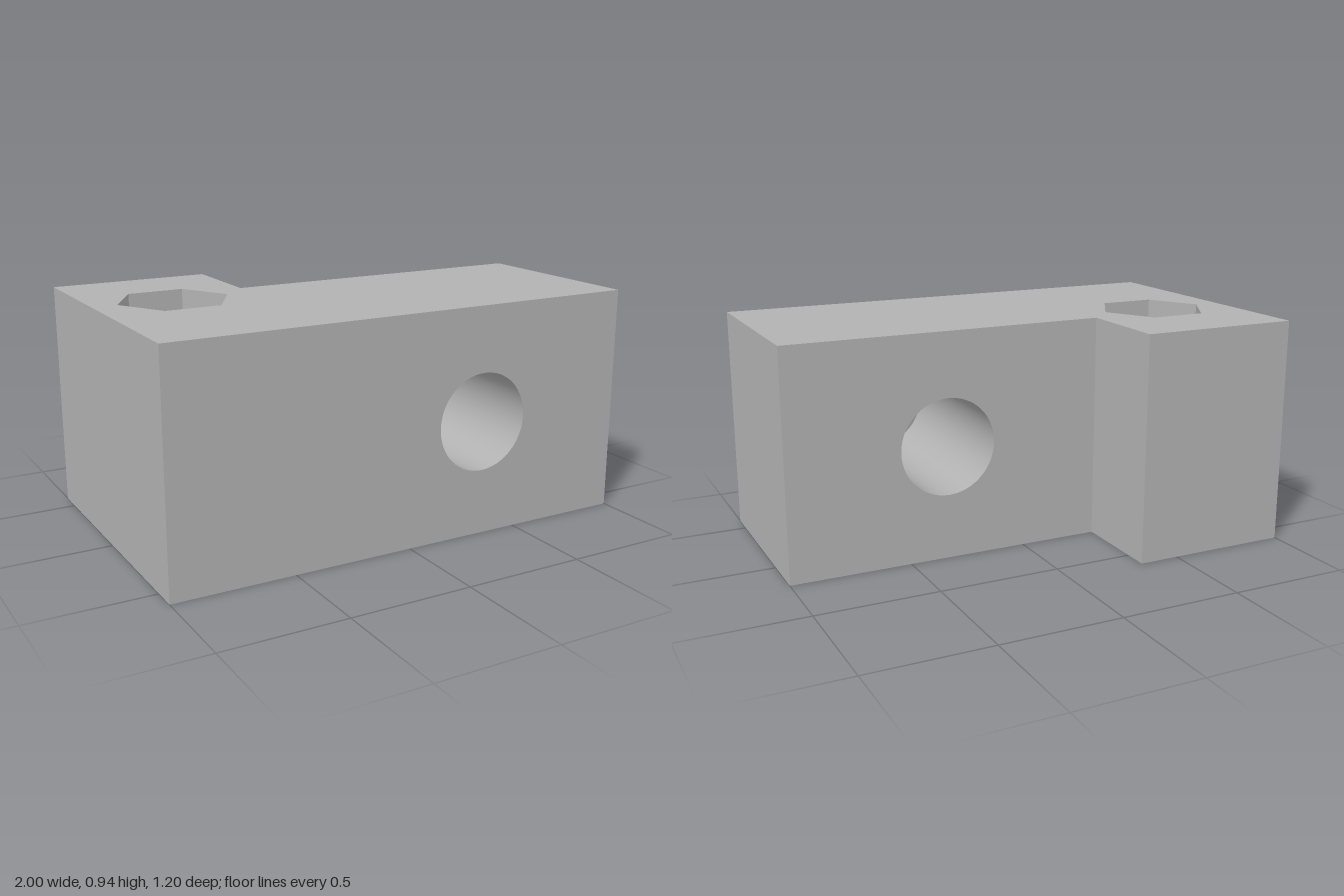
import * as THREE from 'three';

const H = 0.935;
const BOLT = { x: -0.667, z: -0.1, r: 0.142, hexR: 0.231, depth: 0.17 };
const CROSS = { x: 0.333, y: H / 2, r: 0.2 };

// L-shaped footprint as [x, z], ordered so every wall faces outward
const FOOTPRINT = [[-1, 0.6], [1, 0.6], [1, -0.2], [-0.333, -0.2], [-0.333, -0.6], [-1, -0.6]];

const shapeOf = (pts) => new THREE.Shape(pts.map(([x, y]) => new THREE.Vector2(x, y)));
const circle = (x, y, r) => new THREE.Path().absarc(x, y, r, 0, Math.PI * 2, true);
const hexPoints = (x, y, r) => Array.from({ length: 6 }, (_, i) =>
  new THREE.Vector2(x + r * Math.cos(i * Math.PI / 3), y + r * Math.sin(i * Math.PI / 3)));

export function createModel() {
  const group = new THREE.Group();
  const grey = new THREE.MeshStandardMaterial({ color: 0xb2b2b2, side: THREE.DoubleSide });
  grey.name = 'grey';

  const add = (name, geometry) => {
    const mesh = new THREE.Mesh(geometry, grey);
    mesh.name = name;
    group.add(mesh);
    return mesh;
  };
  const face = (name, shape, hole) => {
    if (hole) shape.holes.push(hole);
    return add(name, new THREE.ShapeGeometry(shape, 32));
  };

  // Outer walls; the front wall and the wall behind it carry the cross bore
  const names = ['frontWall', 'leftWall', 'innerBackWall', 'stepWall', 'backWall', 'rightWall'];
  FOOTPRINT.forEach(([x, z], i) => {
    const [x2, z2] = FOOTPRINT[(i + 1) % FOOTPRINT.length];
    const w = Math.hypot(x2 - x, z2 - z);
    const hole = i === 0 || i === 2 ? circle(Math.abs(CROSS.x - x), CROSS.y, CROSS.r) : null;
    const wall = face(names[i], shapeOf([[0, 0], [w, 0], [w, H], [0, H]]), hole);
    wall.rotation.y = Math.atan2(z - z2, x2 - x);
    wall.position.set(x, 0, z);
  });

  // Top with the hexagonal opening
  const top = face('topFace', shapeOf(FOOTPRINT.map(([x, z]) => [x, -z])),
    new THREE.Path(hexPoints(BOLT.x, -BOLT.z, BOLT.hexR)));
  top.rotation.x = -Math.PI / 2;
  top.position.y = H;

  // Underside with the round bolt hole
  const bottom = face('bottomFace', shapeOf(FOOTPRINT), circle(BOLT.x, BOLT.z, BOLT.r));
  bottom.rotation.x = Math.PI / 2;

  // Nut recess: floor and six flat sides
  const floor = face('recessFloor', new THREE.Shape(hexPoints(BOLT.x, -BOLT.z, BOLT.hexR)),
    circle(BOLT.x, -BOLT.z, BOLT.r));
  floor.rotation.x = -Math.PI / 2;
  floor.position.y = H - BOLT.depth;

  const hexSides = new THREE.CylinderGeometry(BOLT.hexR, BOLT.hexR, BOLT.depth, 6, 1, true, Math.PI / 2).toNonIndexed();
  hexSides.computeVertexNormals();
  add('recessSides', hexSides).position.set(BOLT.x, H - BOLT.depth / 2, BOLT.z);

  // Bore linings
  const boltLength = H - BOLT.depth;
  add('boltBore', new THREE.CylinderGeometry(BOLT.r, BOLT.r, boltLength, 64, 1, true))
    .position.set(BOLT.x, boltLength / 2, BOLT.z);

  const crossBore = add('crossBore', new THREE.CylinderGeometry(CROSS.r, CROSS.r, 0.8, 64, 1, true));
  crossBore.rotation.x = Math.PI / 2;
  crossBore.position.set(CROSS.x, CROSS.y, 0.2);

  return group;
}
